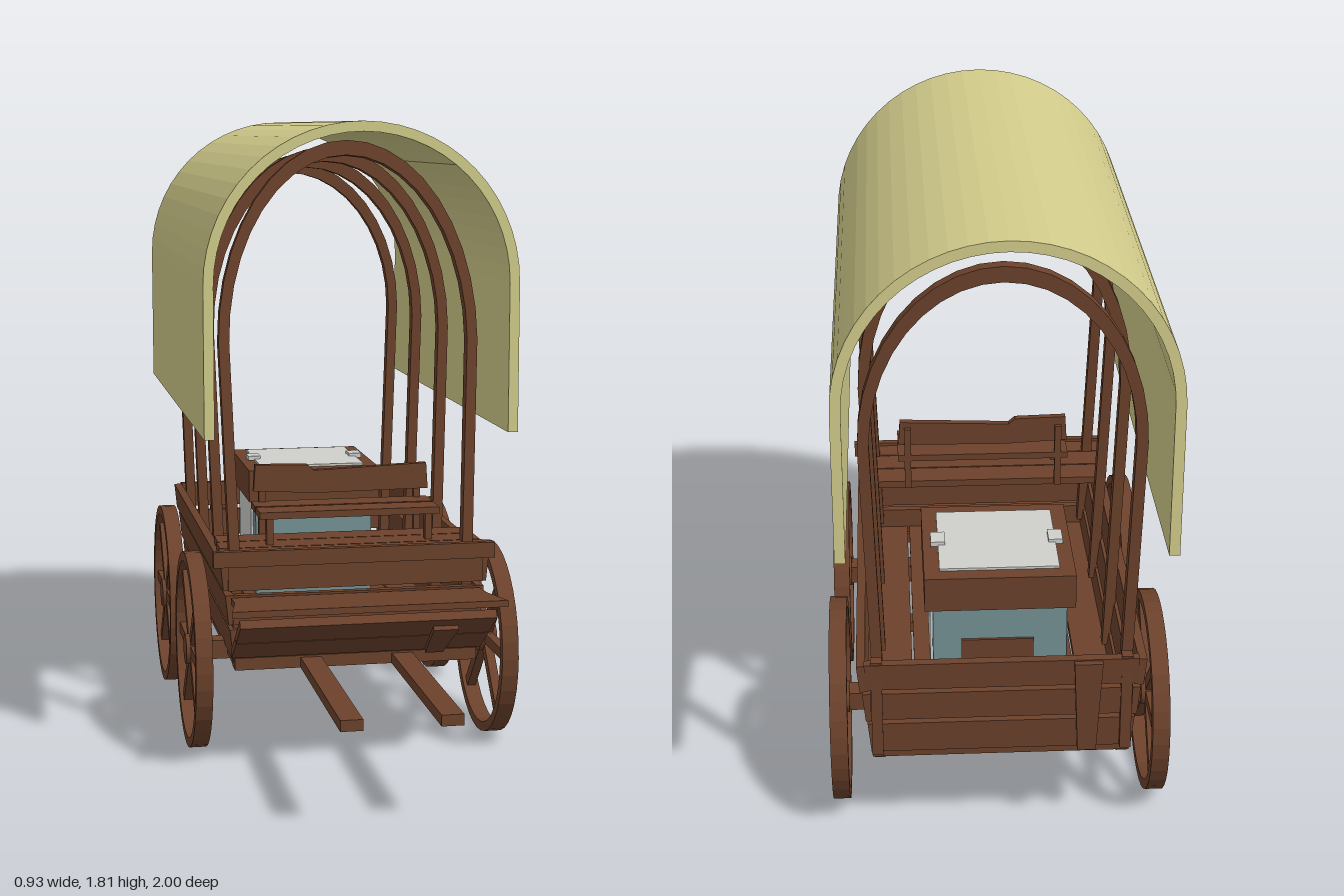
import * as THREE from 'three';

const mat = (name, color) => {
  const m = new THREE.MeshStandardMaterial({ color });
  m.name = name;
  return m;
};

export function createModel() {
  const wood = mat('brown wood', 0x6b412b);
  const cloth = mat('canvas', 0xd2cc8b);
  const teal = mat('teal chest', 0x759294);
  const pale = mat('pale panel', 0xcfd0cc);
  const root = new THREE.Group();

  const add = (name, geo, m, x = 0, y = 0, z = 0, parent = root) => {
    const mesh = new THREE.Mesh(geo, m);
    mesh.name = name;
    mesh.position.set(x, y, z);
    parent.add(mesh);
    return mesh;
  };
  const box = (name, w, h, d, x, y, z, m = wood, parent = root) =>
    add(name, new THREE.BoxGeometry(w, h, d), m, x, y, z, parent);
  const extrude = (shape, depth, seg = 16) =>
    new THREE.ExtrudeGeometry(shape, { depth, bevelEnabled: false, curveSegments: seg })
      .translate(0, 0, -depth / 2);
  const poly = (pts) => new THREE.Shape(pts.map(([x, y]) => new THREE.Vector2(x, y)));

  // Arch band: straight legs carrying a half ellipse
  const archShape = (foot, footY, half, springY, top, tSide, tTop, n = 20) => {
    const pts = [[foot, footY]];
    for (let i = 0; i <= n; i++) {
      const a = (i / n) * Math.PI;
      pts.push([half * Math.cos(a), springY + (top - springY) * Math.sin(a)]);
    }
    pts.push([-foot, footY], [-foot + tSide, footY]);
    for (let i = n; i >= 0; i--) {
      const a = (i / n) * Math.PI;
      pts.push([(half - tSide) * Math.cos(a), springY + (top - tTop - springY) * Math.sin(a)]);
    }
    pts.push([foot - tSide, footY]);
    return poly(pts);
  };

  // Canvas cover
  add('canvasCover', extrude(archShape(0.438, 0.96, 0.438, 1.375, 1.815, 0.028, 0.028, 28), 1.51),
    cloth, -0.007, 0, -0.245);

  // Wooden hoops, the front ones leaning back
  [[0.32, 0.08, 1.765], [-0.057, 0.05, 1.74], [-0.437, 0.02, 1.715], [-0.82, 0, 1.69]]
    .forEach(([z, lean, top]) => {
      const geo = extrude(archShape(0.345, 0.36, 0.373, 1.2, top, 0.03, 0.042), 0.037)
        .translate(0, -0.6, 0);
      add('hoop', geo, wood, -0.004, 0.6, z).rotation.x = -lean;
    });

  // Wheels: rim, hub and six spokes
  const ring = new THREE.Shape().absarc(0, 0, 0.286, 0, Math.PI * 2, false);
  ring.holes.push(new THREE.Path().absarc(0, 0, 0.258, 0, Math.PI * 2, true));
  const rimGeo = extrude(ring, 0.048, 18);
  const hubGeo = new THREE.CylinderGeometry(0.045, 0.045, 0.05, 12).rotateX(Math.PI / 2);
  for (const z of [0.147, -0.575]) {
    for (const s of [-1, 1]) {
      const wheel = new THREE.Group();
      wheel.name = 'wheel';
      wheel.position.set(s * 0.441, 0.287, z);
      wheel.rotation.y = Math.PI / 2;
      add('rim', rimGeo, wood, 0, 0, 0, wheel);
      add('hub', hubGeo, wood, 0, 0, 0, wheel);
      for (const a of [0, 48, 132, 180, 228, 312].map(THREE.MathUtils.degToRad)) {
        const spoke = box('spoke', 0.25, 0.032, 0.026,
          Math.cos(a) * 0.14, Math.sin(a) * 0.14, 0, wood, wheel);
        spoke.rotation.z = a;
      }
      root.add(wheel);
    }
    // Axle beam
    box('axle', 0.84, 0.055, 0.06, 0, 0.288, z);
  }

  // Floor boards
  for (let i = 0; i < 6; i++) box('floorBoard', 0.11, 0.02, 1.22, -0.29 + i * 0.116, 0.325, -0.25);
  // Cross bearers and the pulling shafts beneath
  for (const z of [0.36, -0.2, -0.84]) box('crossBearer', 0.7, 0.035, 0.05, 0, 0.298, z);
  for (const s of [-1, 1]) {
    box('shaft', 0.06, 0.03, 0.95, s * 0.132, 0.295, 0.525);
    box('underBeam', 0.05, 0.03, 0.9, s * 0.132, 0.295, -0.4);
  }

  // Bed walls: three flared planks on each side and end
  [[0.35, 0.092, 0.345], [0.453, 0.085, 0.358], [0.55, 0.08, 0.372]].forEach(([y, h, x], i) => {
    for (const s of [-1, 1]) {
      const p = box('sidePlank', 0.024, h, 1.25 + i * 0.012, s * x, y, -0.253 - i * 0.004);
      p.rotation.z = -s * 0.1;
    }
    const tail = box('tailPlank', x * 2 - 0.01, h, 0.024, 0, y + 0.005, -0.872 - i * 0.008);
    tail.rotation.x = -0.06;
    box('frontPlank', x * 2 - 0.01, h, 0.024, 0, y, 0.36 + i * 0.006);
  });
  for (const s of [-1, 1]) {
    box('sillBeam', 0.03, 0.03, 1.22, s * 0.33, 0.29, -0.25);
    box('tailPost', 0.03, 0.29, 0.03, s * 0.335, 0.455, -0.885);
  }

  // Tapered latches on the ends
  const wedge = (h) => extrude(poly([[-0.025, -h / 2], [0.025, -h / 2], [0.038, h / 2], [-0.038, h / 2]]), 0.02);
  add('tailLatch', wedge(0.28), wood, -0.23, 0.45, -0.902).rotation.x = -0.05;

  // Footboard with its sloping support panel
  const boardGeo = extrude(poly([[-0.36, -0.2], [0.36, -0.2], [0.36, -0.05], [0.385, -0.2 + 0.39],
    [-0.385, 0.19], [-0.36, -0.05]].map(([x, v]) => [x, (v + 0.2) * 0.56])), 0.018)
    .rotateX(Math.PI / 2);
  add('footboard', boardGeo, wood, 0, 0.482, 0.385).rotation.x = -0.06;
  const slope = new THREE.Group();
  slope.name = 'footPanel';
  slope.position.set(0, 0.395, 0.48);
  slope.rotation.x = 0.96;
  for (let i = 0; i < 2; i++) box('panelBoard', 0.72, 0.113, 0.025, 0, -0.058 + i * 0.117, 0, wood, slope);
  add('panelLatch', extrude(poly([[-0.026, -0.1], [0.026, -0.1], [0.036, 0.08], [-0.036, 0.08]]), 0.014),
    wood, 0.222, -0.01, 0.018, slope);
  root.add(slope);

  // Driver's deck
  for (let i = 0; i < 3; i++) box('deckBoard', 0.77 - i * 0.01, 0.022, 0.088, 0, 0.605, 0.352 - i * 0.093);
  box('deckEdge', 0.81, 0.045, 0.022, -0.005, 0.603, 0.387);

  // Bench with a rough backrest
  for (let i = 0; i < 2; i++) box('benchBoard', 0.525, 0.02, 0.085, 0, 0.702, 0.245 - i * 0.095);
  const back = poly([[-0.26, 0.748], [-0.07, 0.738], [0.26, 0.742], [0.255, 0.818], [-0.08, 0.805],
    [-0.1, 0.822], [-0.255, 0.826]]);
  add('backrest', extrude(back, 0.022), wood, 0, 0, 0.133);
  for (const s of [-1, 1]) {
    box('backPost', 0.02, 0.2, 0.018, s * 0.232, 0.7, 0.115);
    box('benchLeg', 0.02, 0.085, 0.03, s * 0.232, 0.654, 0.265);
  }

  // Storage chest with pale panels and a wooden lid
  const cz = -0.49;
  box('chestBody', 0.37, 0.3, 0.385, -0.007, 0.485, cz, teal);
  box('chestLid', 0.415, 0.1, 0.42, -0.007, 0.685, cz);
  box('lidPanel', 0.33, 0.008, 0.33, -0.007, 0.738, cz, pale);
  for (const s of [-1, 1]) {
    box('sidePanel', 0.008, 0.22, 0.27, -0.007 + s * 0.188, 0.51, cz, pale);
    box('lidKnob', 0.04, 0.014, 0.06, -0.007 + s * 0.165, 0.744, cz, pale);
  }
  box('chestHatch', 0.2, 0.17, 0.009, 0, 0.45, cz - 0.196);

  return root;
}
